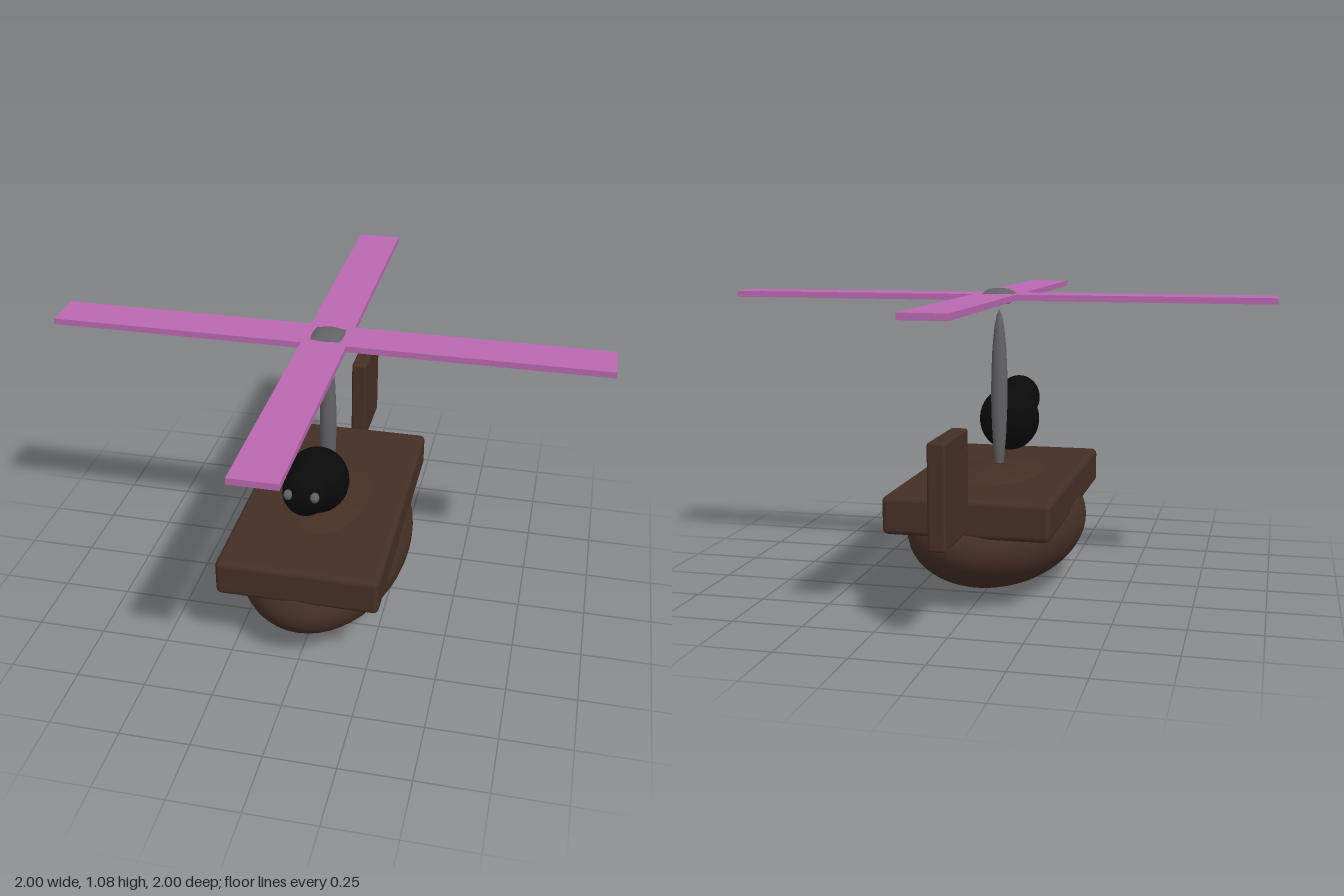
import * as THREE from 'three';
import { RoundedBoxGeometry } from 'three/addons/geometries/RoundedBoxGeometry.js';

const mat = (name, color) => {
  const m = new THREE.MeshStandardMaterial({ color });
  m.name = name;
  return m;
};

export function createModel() {
  const model = new THREE.Group();
  model.name = 'propellerBoat';
  const brown = mat('dark brown wood', 0x452f25);
  const pink = mat('orchid pink', 0xba68b0);
  const grey = mat('steel grey', 0x626266);
  const black = mat('black', 0x0a0a0a);

  const add = (name, geometry, material, x, y, z, parent = model) => {
    const mesh = new THREE.Mesh(geometry, material);
    mesh.name = name;
    mesh.position.set(x, y, z);
    parent.add(mesh);
    return mesh;
  };
  const ellipsoid = (rx, ry, rz, w = 40, h = 28) =>
    new THREE.SphereGeometry(1, w, h).scale(rx, ry, rz);

  // Hull, its crown rising slightly through the deck
  add('hull', ellipsoid(0.32, 0.217, 0.555, 48, 32), brown, 0, 0.222, 0);
  add('deck', new RoundedBoxGeometry(0.585, 0.135, 1.055, 3, 0.02), brown, 0, 0.342, 0);
  add('tailFin', new RoundedBoxGeometry(0.06, 0.347, 0.29, 2, 0.01), brown, 0, 0.493, -0.727);

  // Mast: a slender spindle
  const profile = [
    [0, 0.39], [0.01, 0.41], [0.018, 0.45], [0.026, 0.54], [0.03, 0.64], [0.031, 0.7],
    [0.03, 0.78], [0.026, 0.87], [0.018, 0.95], [0.01, 0.99], [0, 1.012],
  ].map(([r, y]) => new THREE.Vector2(r, y));
  add('mast', new THREE.LatheGeometry(profile, 16), grey, 0, 0, 0);

  // Rotor: two crossed blades and a hub
  const rotor = new THREE.Group();
  rotor.name = 'rotor';
  rotor.position.y = 1.06;
  model.add(rotor);
  add('crossBlade', new THREE.BoxGeometry(2, 0.022, 0.16), pink, 0, 0, 0, rotor);
  for (const side of [-1, 1]) {
    add('lengthBlade', new THREE.BoxGeometry(0.16, 0.022, 0.92), pink, 0, 0, side * 0.54, rotor);
  }

  // Hub: a flattened ball pushed out to a square rim with flat caps
  const hubGeo = new THREE.SphereGeometry(1, 32, 16);
  const p = hubGeo.attributes.position;
  for (let i = 0; i < p.count; i++) {
    const x = p.getX(i), y = p.getY(i), z = p.getZ(i);
    const r = Math.hypot(x, z);
    const square = r > 1e-6 ? r / Math.max(Math.abs(x), Math.abs(z)) : 1;
    const k = 1 + (square - 1) * Math.pow(r, 6);
    p.setXYZ(i, x * k * 0.0615, Math.sign(y) * Math.min(Math.abs(y), 0.85) * 0.033, z * k * 0.0615);
  }
  hubGeo.computeVertexNormals();
  add('hub', hubGeo, grey, 0, 0, 0, rotor);

  // Passenger: round body, head and two small eyes
  const passenger = new THREE.Group();
  passenger.name = 'passenger';
  model.add(passenger);
  add('body', ellipsoid(0.115, 0.122, 0.115), black, 0, 0.578, 0.178, passenger);
  add('head', ellipsoid(0.083, 0.087, 0.083), black, 0, 0.637, 0.353, passenger);
  for (const side of [-1, 1]) {
    add('eye', ellipsoid(0.016, 0.019, 0.016, 16, 12), grey, side * 0.047, 0.66, 0.424, passenger);
  }
  return model;
}
